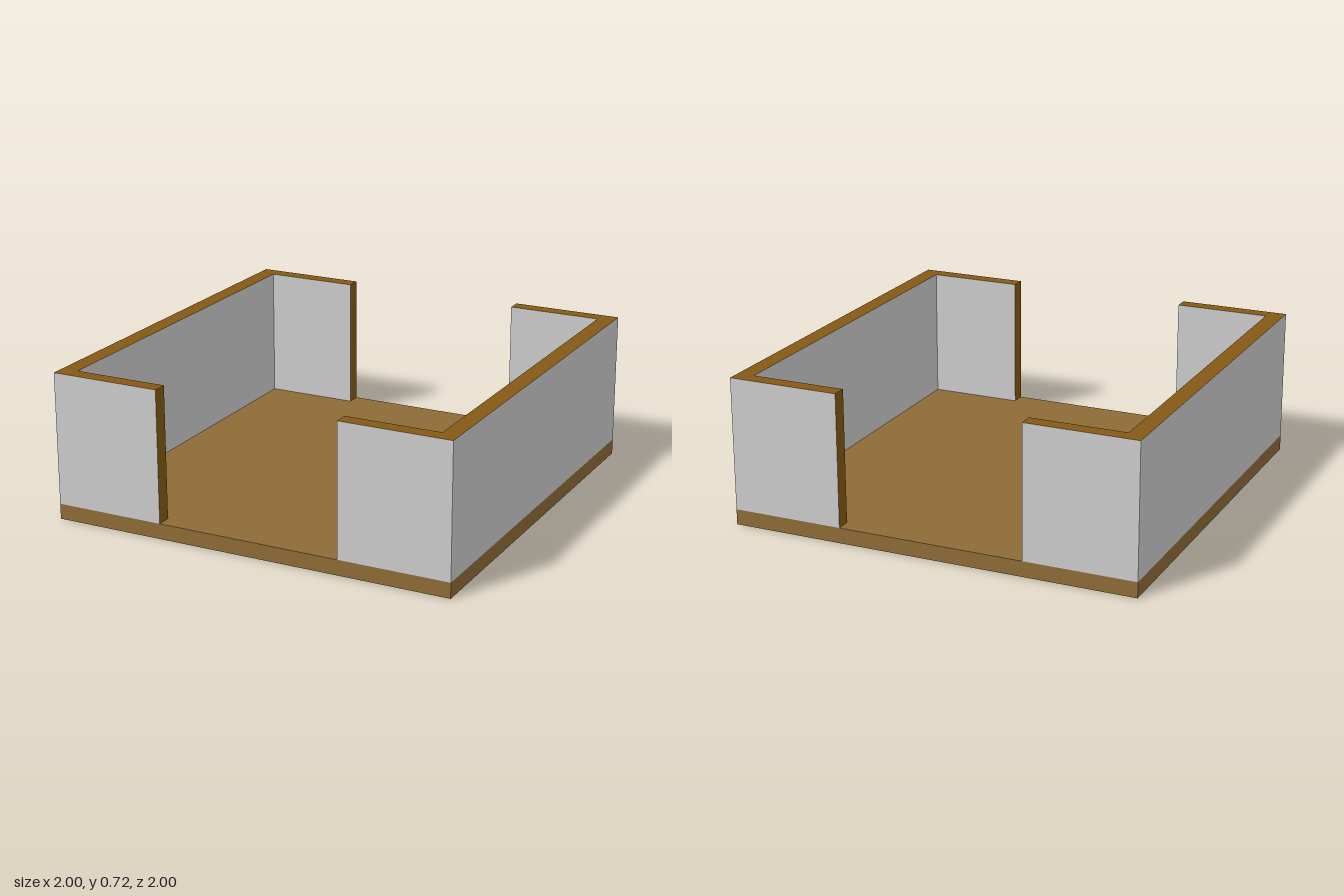
import * as THREE from 'three';

const FLOOR_TOP = 0.075, WALL_TOP = 0.72;
const OPENING = 0.455;               // half width of the two openings
const INNER_X = 0.917, INNER_Z = 0.928;

// C-shaped wall: a long side with a short return at each end
function wallGeometry() {
  const shape = new THREE.Shape([
    [OPENING, -1], [1, -1], [1, 1], [OPENING, 1],
    [OPENING, INNER_Z], [INNER_X, INNER_Z], [INNER_X, -INNER_Z], [OPENING, -INNER_Z],
  ].map(([x, y]) => new THREE.Vector2(x, y)));
  const geo = new THREE.ExtrudeGeometry(shape, { depth: WALL_TOP - FLOOR_TOP, bevelEnabled: false });

  // Caps and the end faces at the openings take the trim material (0), the rest is plain (1)
  const pos = geo.attributes.position;
  const [caps, sides] = geo.groups.map((g) => ({ ...g }));
  geo.clearGroups();
  geo.addGroup(caps.start, caps.count, 0);
  for (let i = sides.start; i < sides.start + sides.count; i += 6) {
    let isEnd = true;
    for (let k = 0; k < 6; k++) isEnd = isEnd && pos.getX(i + k) < OPENING + 0.01;
    geo.addGroup(i, 6, isEnd ? 0 : 1);
  }
  return geo.rotateX(-Math.PI / 2).translate(0, FLOOR_TOP, 0);
}

export function createModel() {
  const model = new THREE.Group();
  model.name = 'openRoom';
  const floorMat = new THREE.MeshStandardMaterial({ color: 0x8d6b36 });
  const trimMat = new THREE.MeshStandardMaterial({ color: 0x845915 });
  const wallMat = new THREE.MeshStandardMaterial({ color: 0xcccccc });

  // Floor slab
  const floor = new THREE.Mesh(new THREE.BoxGeometry(2, FLOOR_TOP, 2), floorMat);
  floor.name = 'floor';
  floor.position.y = FLOOR_TOP / 2;
  model.add(floor);

  // Two facing walls
  const geo = wallGeometry();
  ['leftWall', 'rightWall'].forEach((name, i) => {
    const wall = new THREE.Mesh(geo, [trimMat, wallMat]);
    wall.name = name;
    wall.rotation.y = i * Math.PI;
    model.add(wall);
  });
  return model;
}
